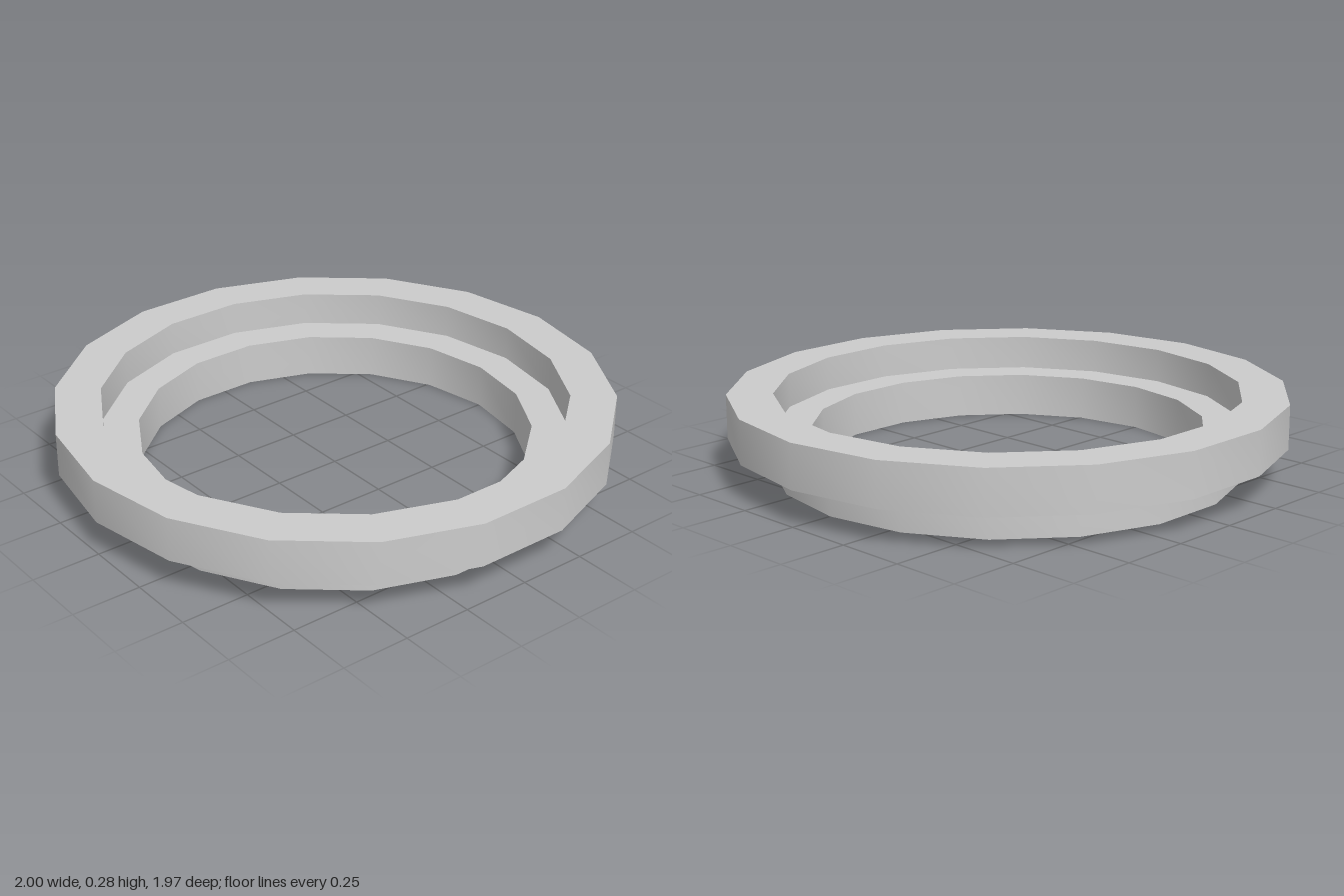
import * as THREE from 'three';
import { toCreasedNormals } from 'three/addons/utils/BufferGeometryUtils.js';

const SIDES = 18;

export function createModel() {
  const group = new THREE.Group();
  group.name = 'steppedRing';

  // Closed cross-section [radius, height], counter-clockwise
  const profile = [
    [0.705, 0], [0.842, 0],         // underside
    [0.842, 0.125], [1, 0.125],     // lower collar, underside of flange
    [1, 0.285], [0.835, 0.285],     // flange rim and top
    [0.835, 0.16], [0.705, 0.16],   // recess wall and inner ledge
    [0.705, 0],                     // bore
  ].map(([r, y]) => new THREE.Vector2(r, y));

  // Revolved with a corner on the x axis; round walls smooth, steps sharp
  const lathe = new THREE.LatheGeometry(profile, SIDES, Math.PI / 2);
  const ring = new THREE.Mesh(
    toCreasedNormals(lathe, 0.6),
    new THREE.MeshStandardMaterial({ color: 0xcccccc })
  );
  ring.name = 'flangedRing';
  group.add(ring);
  return group;
}
